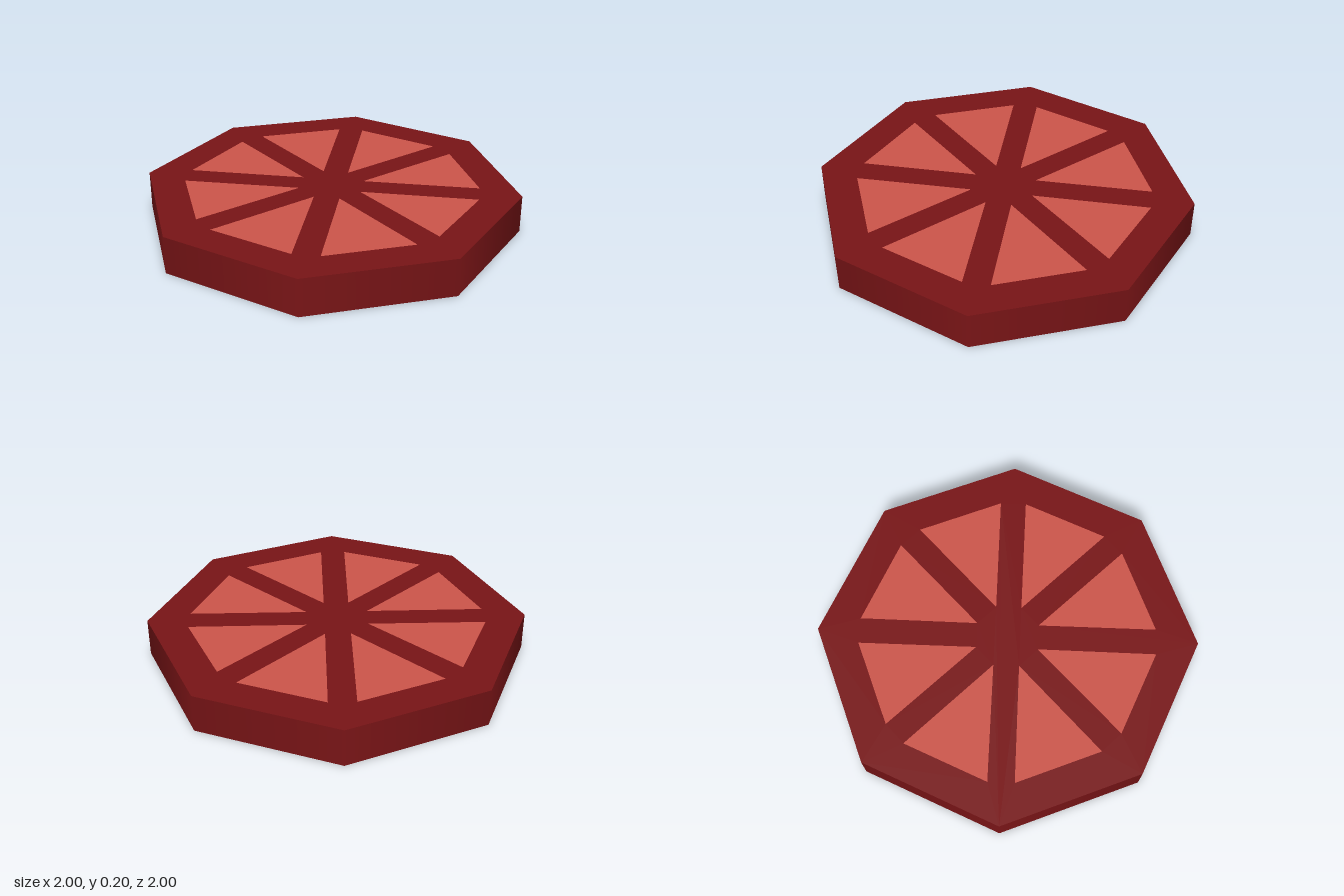
import * as THREE from 'three';

const SIDES = 8, RADIUS = 1, HEIGHT = 0.2;

// One wedge outline pointing along the given angle: inner tip, then two rim corners
function wedgePoints(angle) {
  const origin = new THREE.Vector2();
  return [[0.175, 0], [0.747, -0.235], [0.747, 0.235]].map(([x, y]) =>
    new THREE.Vector2(x, y).rotateAround(origin, angle));
}

export function createModel() {
  const group = new THREE.Group();
  const rindMaterial = new THREE.MeshStandardMaterial({ color: 0x781416 });
  const fleshMaterial = new THREE.MeshStandardMaterial({ color: 0xcc554a });

  const add = (name, geometry, material) => {
    const mesh = new THREE.Mesh(geometry, material);
    mesh.name = name;
    group.add(mesh);
    return mesh;
  };

  // Octagonal outer wall with smooth normals
  const wall = new THREE.CylinderGeometry(RADIUS, RADIUS, HEIGHT, SIDES, 1, true);
  add('rindWall', wall.translate(0, HEIGHT / 2, 0), rindMaterial);

  // Octagon face with a wedge-shaped opening in every sector
  const step = (Math.PI * 2) / SIDES;
  const wedges = [], corners = [];
  for (let i = 0; i < SIDES; i++) {
    corners.push(new THREE.Vector2(Math.cos(i * step), Math.sin(i * step)).multiplyScalar(RADIUS));
    wedges.push(wedgePoints((i + 0.5) * step));
  }
  const face = new THREE.Shape(corners);
  face.holes = wedges.map((points) => new THREE.Path(points));
  const rindFace = new THREE.ShapeGeometry(face);
  const fleshFace = new THREE.ShapeGeometry(wedges.map((points) => new THREE.Shape(points)));

  // Both faces: membranes with the flesh wedges flush between them
  for (const [side, y, tilt] of [['top', HEIGHT, -Math.PI / 2], ['bottom', 0, Math.PI / 2]]) {
    for (const [part, geometry, material] of [
      ['Rind', rindFace, rindMaterial],
      ['FleshWedges', fleshFace, fleshMaterial],
    ]) {
      add(side + part, geometry.clone().rotateX(tilt).translate(0, y, 0), material);
    }
  }
  return group;
}
